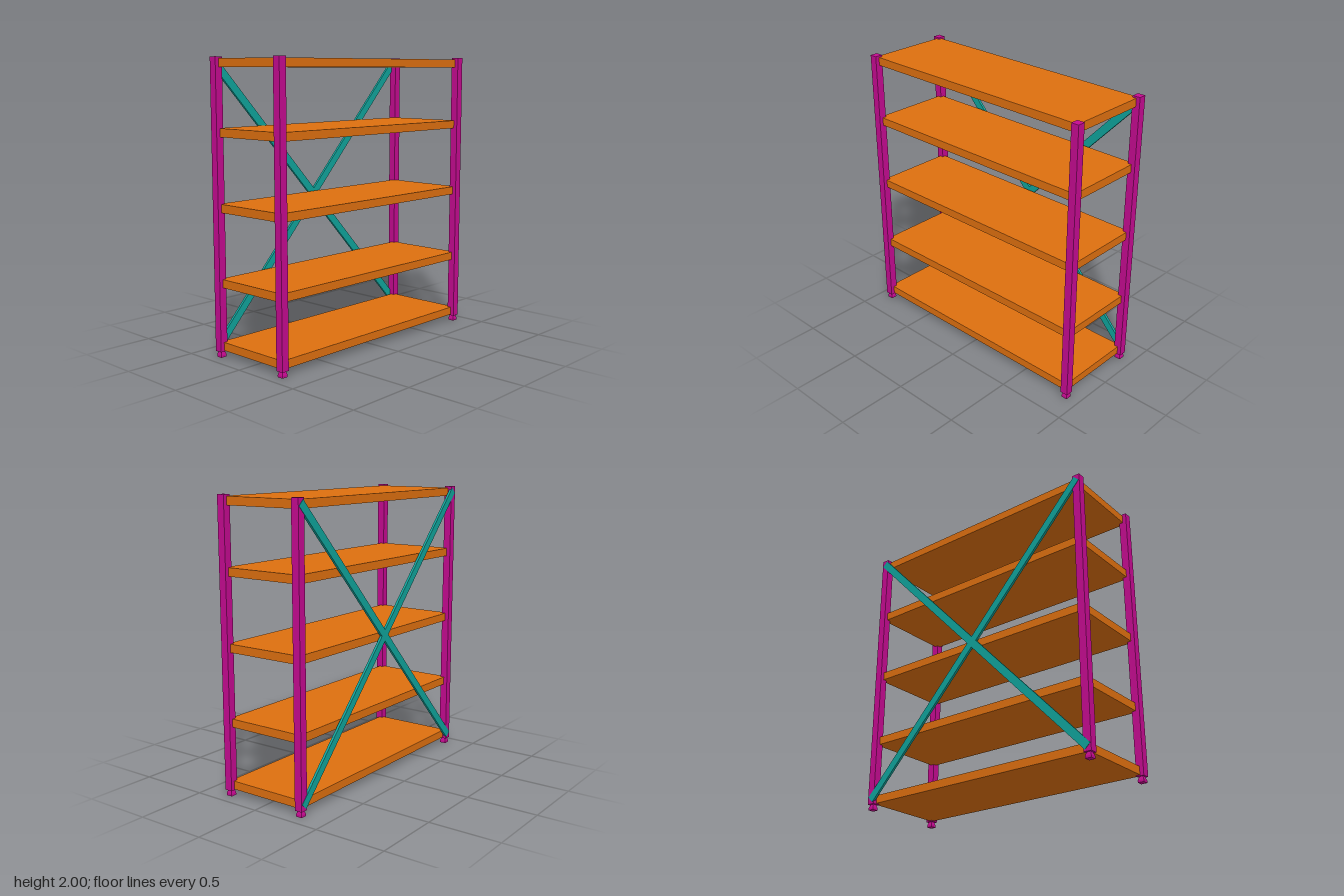
import * as THREE from 'three';

const POST = 0.055;
const PX = 0.897, PZ = 0.3, DZ = 0.001; // post centres and slight depth offset

function add(group, name, geometry, material, x, y, z) {
  const mesh = new THREE.Mesh(geometry, material);
  mesh.name = name;
  mesh.position.set(x, y, z);
  group.add(mesh);
  return mesh;
}

export function createModel() {
  const model = new THREE.Group();
  model.name = 'shelvingUnit';
  const magenta = new THREE.MeshStandardMaterial({ color: 0xc40a90, flatShading: true });
  const orange = new THREE.MeshStandardMaterial({ color: 0xdd6f0f, flatShading: true });
  const teal = new THREE.MeshStandardMaterial({ color: 0x0fa39b, flatShading: true });

  // Square feet: a short pad that narrows up to the post
  const r = Math.SQRT1_2;
  const footProfile = [[0, 0], [0.044 * r, 0], [0.044 * r, 0.015], [0.026 * r, 0.042], [0, 0.042]]
    .map(([x, y]) => new THREE.Vector2(x, y));
  const footGeometry = new THREE.LatheGeometry(footProfile, 4, Math.PI / 4);

  // Corner posts, each standing on a foot
  const postGeometry = new THREE.BoxGeometry(POST, 1.96, POST);
  for (const [sx, side] of [[1, 'Left'], [-1, 'Right']]) {
    for (const [sz, end] of [[1, 'front'], [-1, 'back']]) {
      add(model, `${end}${side}Post`, postGeometry, magenta, sx * PX, 1.02, sz * PZ + DZ);
      add(model, `${end}${side}Foot`, footGeometry, magenta, sx * PX, 0, sz * PZ + DZ);
    }
  }

  // Shelves
  const shelfGeometry = new THREE.BoxGeometry(2 * PX, 0.057, 2 * PZ);
  [0.075, 0.507, 1.012, 1.51, 1.96].forEach((y, i) => {
    add(model, `shelf${i + 1}`, shelfGeometry, orange, 0, y, DZ);
  });

  // Crossed braces on the back
  const run = 0.9, rise = 0.95;
  const braceGeometry = new THREE.BoxGeometry(2 * Math.hypot(run, rise), 0.055, 0.018);
  for (const s of [1, -1]) {
    const brace = add(model, s > 0 ? 'risingBrace' : 'fallingBrace', braceGeometry, teal, 0, 1.02, -0.32);
    brace.rotation.z = s * Math.atan2(rise, run);
  }

  return model;
}
